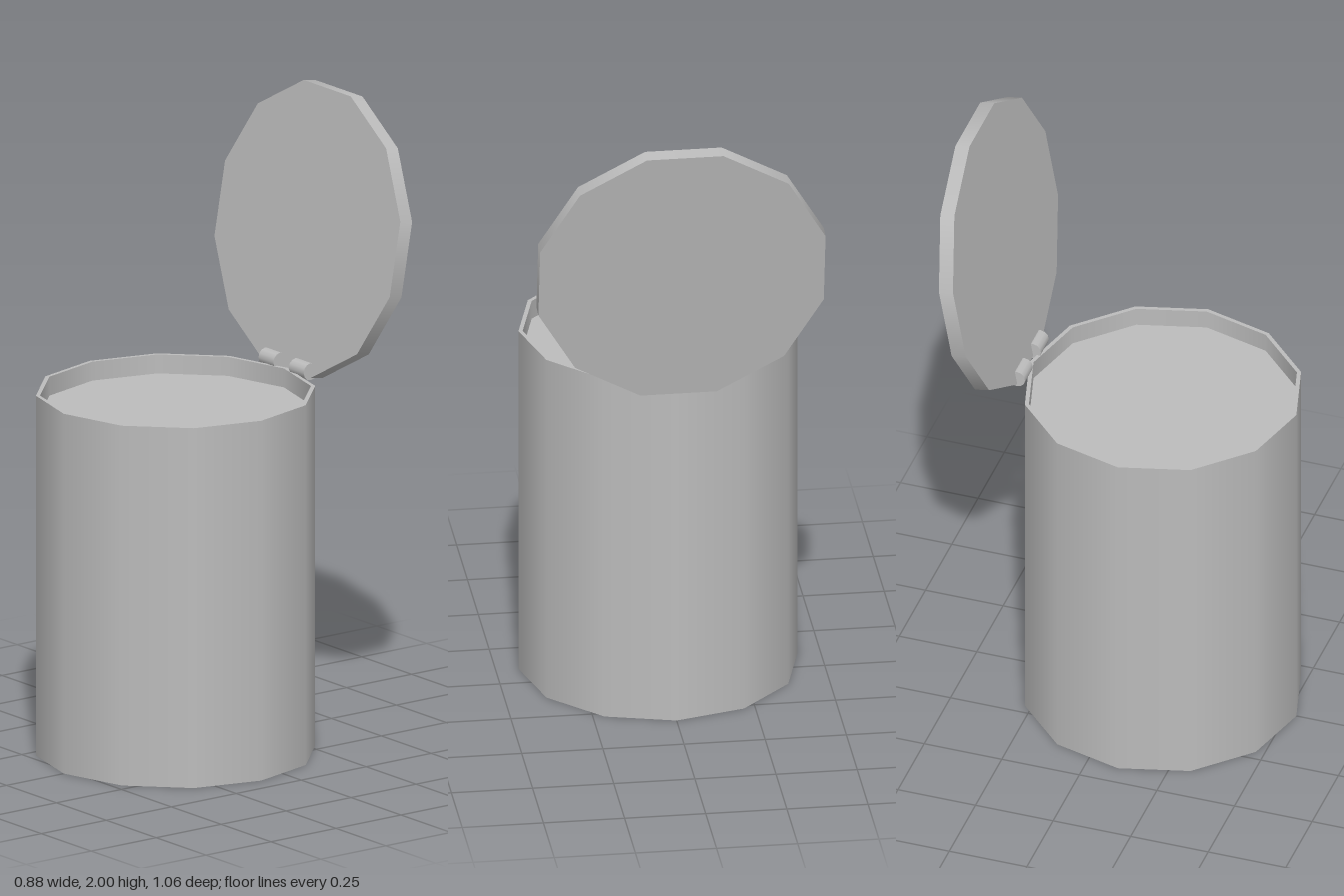
import * as THREE from 'three';

const SIDES = 12;

export function createModel() {
  const model = new THREE.Group();
  const grey = new THREE.MeshStandardMaterial({ color: 0xbcbcbc });
  grey.name = 'plain grey';

  const add = (parent, name, geometry) => {
    const mesh = new THREE.Mesh(geometry, grey);
    mesh.name = name;
    parent.add(mesh);
    return mesh;
  };

  // Can: each straight stretch of the profile is its own lathe, so corners stay sharp
  const outer = 0.43, inner = 0.417, height = 1.14, floor = 1.08;
  const body = new THREE.Group();
  body.name = 'body';
  body.position.z = 0.1;
  const profile = [[0, 0], [outer, 0], [outer, height], [inner, height], [inner, floor], [0, floor]]
    .map(([x, y]) => new THREE.Vector2(x, y));
  ['base', 'outerWall', 'rim', 'innerWall', 'contents'].forEach((name, i) =>
    add(body, name, new THREE.LatheGeometry([profile[i], profile[i + 1]], SIDES)));
  model.add(body);

  // Open lid, a flat edge at the hinge, leaning back 10 degrees
  const lidGeometry = new THREE.CylinderGeometry(0.455, 0.455, 0.046, SIDES);
  lidGeometry.rotateY(Math.PI / SIDES);
  const lid = add(model, 'lid', lidGeometry);
  lid.position.set(0, 1.563, -0.43);
  lid.rotation.x = THREE.MathUtils.degToRad(80);

  // Pair of hinge barrels
  for (const side of [-1, 1]) {
    const hinge = add(model, side > 0 ? 'leftHinge' : 'rightHinge',
      new THREE.CylinderGeometry(0.027, 0.027, 0.075, SIDES));
    hinge.rotation.z = Math.PI / 2;
    hinge.position.set(side * 0.076, 1.152, -0.333);
  }

  return model;
}
